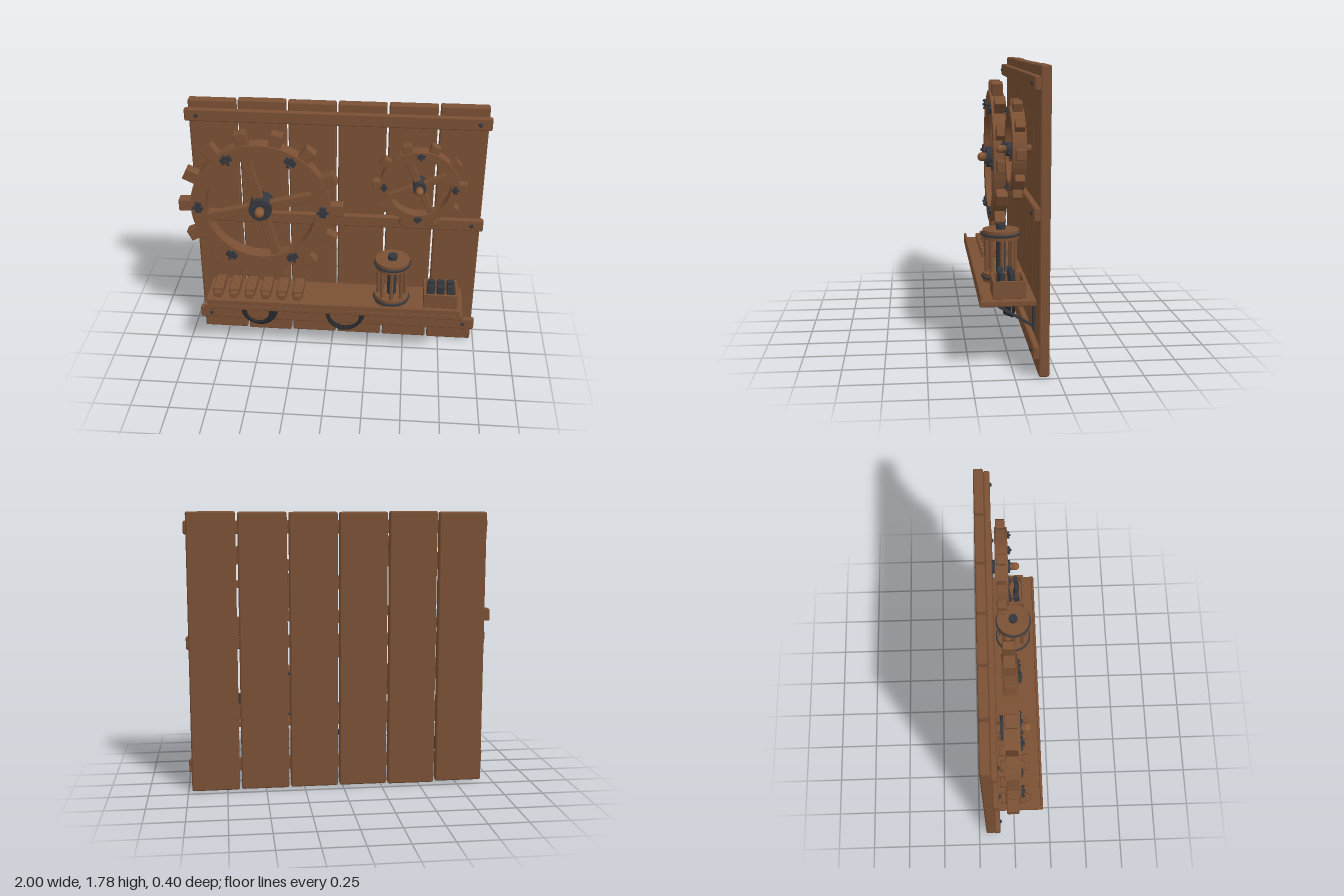
import * as THREE from 'three';
import { RoundedBoxGeometry } from 'three/addons/geometries/RoundedBoxGeometry.js';

const material = (name, color) => new THREE.MeshStandardMaterial({ name, color });

export function createModel() {
  const wood = material('brown wood', 0x7a5034);
  const knobWood = material('light wood', 0x8c5a36);
  const iron = material('dark iron', 0x34373d);
  const cable = material('black cable', 0x26292d);
  const model = new THREE.Group();
  model.name = 'workshopWall';

  function add(parent, name, geometry, mat, x = 0, y = 0, z = 0) {
    const mesh = new THREE.Mesh(geometry, mat);
    mesh.name = name;
    mesh.position.set(x, y, z);
    parent.add(mesh);
    return mesh;
  }
  function group(name, x = 0, y = 0, z = 0, parent = model) {
    const g = new THREE.Group();
    g.name = name;
    g.position.set(x, y, z);
    parent.add(g);
    return g;
  }
  // Box given by its limits, with slightly eased edges
  function block(parent, name, mat, [x0, x1], [y0, y1], [z0, z1], ease = 0.006) {
    const geo = new RoundedBoxGeometry(x1 - x0, y1 - y0, z1 - z0, 1, ease);
    return add(parent, name, geo, mat, (x0 + x1) / 2, (y0 + y1) / 2, (z0 + z1) / 2);
  }
  // Cylinder lying along z between two depths
  function rod(parent, name, mat, r, x, y, z0, z1, sides = 20) {
    const geo = new THREE.CylinderGeometry(r, r, z1 - z0, sides).rotateX(Math.PI / 2);
    return add(parent, name, geo, mat, x, y, (z0 + z1) / 2);
  }
  const ball = (parent, name, mat, r, x, y, z) =>
    add(parent, name, new THREE.SphereGeometry(r, 16, 10), mat, x, y, z);

  // Wall planks
  const wall = group('plankWall');
  for (let i = 0; i < 6; i++) {
    const x = -0.771 + i * 0.319;
    const trim = [0.008, 0.002, 0.006, 0.005, 0.003, 0][i];
    block(wall, 'plank', wood, [x - 0.153, x + 0.153], [0.009 + trim, 1.794 - trim], [-0.2, -0.138], 0.011);
  }
  // Cross rails and their bolts
  for (const y of [0.162, 0.966, 1.694]) {
    block(wall, 'rail', wood, [-0.945, 0.995], [y - 0.042, y + 0.042], [-0.14, -0.1], 0.01);
    for (const x of [-0.868, 0.919]) {
      const bolt = ball(wall, 'railBolt', iron, 0.014, x, y, -0.1);
      bolt.scale.z = 0.9;
    }
  }

  // Cog wheel with teeth, four spokes, hub and rim clamps
  function wheel(name, x, y, o) {
    const g = group(name, x, y);
    const rim = new THREE.Shape().absarc(0, 0, o.outer, 0, Math.PI * 2);
    rim.holes.push(new THREE.Path().absarc(0, 0, o.inner, 0, Math.PI * 2, true));
    const rimGeo = new THREE.ExtrudeGeometry(rim, { depth: o.front - o.back, bevelEnabled: false, curveSegments: 28 });
    add(g, 'rim', rimGeo, wood, 0, 0, o.back);
    for (let i = 0; i < o.teeth; i++) {
      const arm = group('toothArm', 0, 0, 0, g);
      arm.rotation.z = (i / o.teeth) * Math.PI * 2;
      block(arm, 'tooth', wood, [o.outer - 0.02, o.tip], [-o.toothWidth / 2, o.toothWidth / 2],
        [o.back + 0.008, o.front - 0.014], 0.006);
    }
    for (let i = 0; i < 2; i++) {
      const w = o.spoke / 2, len = o.inner + 0.01;
      const spoke = block(g, 'spoke', wood, [-len, len], [-w, w], [o.back + 0.025, o.front - 0.02], 0.004);
      spoke.rotation.z = o.turn + i * Math.PI / 2;
    }
    // Hub, axle and end knob
    rod(g, 'axle', wood, o.axle, 0, 0, -0.14, o.knob - 0.025);
    rod(g, 'hub', iron, o.hub, 0, 0, o.back - 0.02, o.front + 0.015, 24);
    ball(g, 'axleKnob', knobWood, o.axle * 1.05, 0, 0, o.knob - o.axle);
    for (let i = 0; i < 4; i++) {
      const a = Math.PI / 4 + i * Math.PI / 2 + o.turn;
      ball(g, 'hubBolt', iron, o.hub * 0.15, Math.cos(a) * o.hub * 0.68, Math.sin(a) * o.hub * 0.68, o.front + 0.016);
    }
    // Clamps across the rim
    const mid = (o.outer + o.inner) / 2, c = o.clamp;
    for (let i = 0; i < o.clamps; i++) {
      const arm = group('clampArm', 0, 0, 0, g);
      arm.rotation.z = (i / o.clamps) * Math.PI * 2;
      block(arm, 'clampPlate', iron, [mid - c * 0.27, mid + c * 0.27], [-c / 2, c / 2],
        [o.front - 0.005, o.front + 0.014], 0.003);
      for (const s of [-1, 1])
        ball(arm, 'clampBolt', iron, c * 0.15, mid + s * c * 0.38, 0, o.front + 0.012);
      rod(arm, 'clampStud', iron, c * 0.13, mid, 0, o.front, o.front + 0.026, 8);
    }
  }
  wheel('largeWheel', -0.46, 1.105, {
    outer: 0.457, inner: 0.36, tip: 0.54, teeth: 14, toothWidth: 0.08, back: -0.06, front: 0.037,
    spoke: 0.06, turn: 0.25, hub: 0.075, axle: 0.03, knob: 0.114, clamps: 6, clamp: 0.075
  });
  wheel('smallWheel', 0.562, 1.285, {
    outer: 0.252, inner: 0.2, tip: 0.302, teeth: 10, toothWidth: 0.06, back: -0.083, front: -0.002,
    spoke: 0.042, turn: 0.41, hub: 0.042, axle: 0.024, knob: 0.072, clamps: 4, clamp: 0.048
  });

  // Shelf with front lip and iron brackets
  const shelf = group('shelf');
  block(shelf, 'shelfBoard', wood, [-0.845, 0.89], [0.408, 0.445], [-0.135, 0.195], 0.008);
  block(shelf, 'shelfLip', wood, [-0.82, 0.868], [0.44, 0.482], [0.177, 0.193], 0.004);
  for (const x of [-0.728, 0.782]) {
    const bracket = group('bracket', x, 0, 0, shelf);
    block(bracket, 'bracketPlate', iron, [-0.018, 0.018], [0.235, 0.41], [-0.138, -0.124], 0.003);
    const brace = add(bracket, 'brace', new THREE.BoxGeometry(0.032, 0.012, 0.28), iron, 0, 0.333, -0.005);
    brace.rotation.x = -Math.atan2(0.145, 0.24);
  }

  // Row of small wooden blocks
  for (let i = 0; i < 6; i++) {
    const g = group('woodenBlock', -0.768 + i * 0.109, 0, 0);
    block(g, 'blockBody', wood, [-0.035, 0.035], [0.442, 0.502], [-0.09, 0.078], 0.008);
    block(g, 'blockEnd', wood, [-0.026, 0.026], [0.445, 0.485], [0.07, 0.11], 0.008);
  }

  // Lantern gear: two discs joined by bars round an iron core
  const lantern = group('lanternGear', 0.41, 0, 0.03);
  const disc = new THREE.CylinderGeometry(0.114, 0.114, 0.055, 32);
  const hoop = new THREE.TorusGeometry(0.114, 0.009, 8, 36).rotateX(Math.PI / 2);
  for (const y of [0.472, 0.741]) {
    add(lantern, 'disc', disc, wood, 0, y, 0);
    add(lantern, 'hoop', hoop, iron, 0, y, 0);
  }
  add(lantern, 'core', new THREE.CylinderGeometry(0.03, 0.03, 0.355, 20), iron, 0, 0.6225, 0);
  for (let i = 0; i < 8; i++) {
    const a = (i / 8) * Math.PI * 2;
    add(lantern, 'bar', new THREE.CylinderGeometry(0.013, 0.013, 0.25, 10), wood,
      Math.cos(a) * 0.09, 0.607, Math.sin(a) * 0.09);
  }

  // Open box of iron pieces
  const box = group('partsBox', 0.74, 0, 0.018);
  block(box, 'boxFloor', wood, [-0.105, 0.105], [0.443, 0.465], [-0.09, 0.09], 0.003);
  for (const s of [-1, 1]) {
    block(box, 'boxEnd', wood, [s * 0.105 - 0.008, s * 0.105 + 0.008], [0.445, 0.55], [-0.098, 0.098], 0.003);
    block(box, 'boxSide', wood, [-0.1, 0.1], [0.445, 0.55], [s * 0.09 - 0.008, s * 0.09 + 0.008], 0.003);
  }
  for (let i = 0; i < 6; i++) {
    const piece = add(box, 'ironPiece', new RoundedBoxGeometry(0.048, 0.12, 0.032, 1, 0.005), iron,
      -0.065 + (i % 3) * 0.065, 0.53 + (i % 2) * 0.006, i < 3 ? 0.045 : -0.02);
    piece.rotation.set(0.1 * (i % 2 ? 1 : -1), 0.15 * ((i % 3) - 1), 0.05 * ((i % 3) - 1));
  }

  // Cable coils hanging from pegs
  function coil(x, loops, r0, r1, z0, z1, tube) {
    const g = group('cableCoil', x, 0, 0);
    rod(g, 'peg', wood, 0.016, 0, 0.325, -0.14, 0.04);
    ball(g, 'pegKnob', knobWood, 0.023, 0, 0.328, 0.045);
    for (let i = 0; i < loops; i++) {
      const t = i / (loops - 1), r = r0 + (r1 - r0) * t;
      const loop = add(g, 'loop', new THREE.TorusGeometry(r, tube, 8, 40), cable,
        (i % 2 ? 0.006 : -0.004), 0.364 - r, z0 + (z1 - z0) * t);
      loop.rotation.y = i % 2 ? 0.04 : -0.04;
    }
  }
  coil(-0.51, 5, 0.092, 0.12, 0.012, -0.055, 0.011);
  coil(0.09, 4, 0.116, 0.125, -0.025, -0.068, 0.01);
  return model;
}
